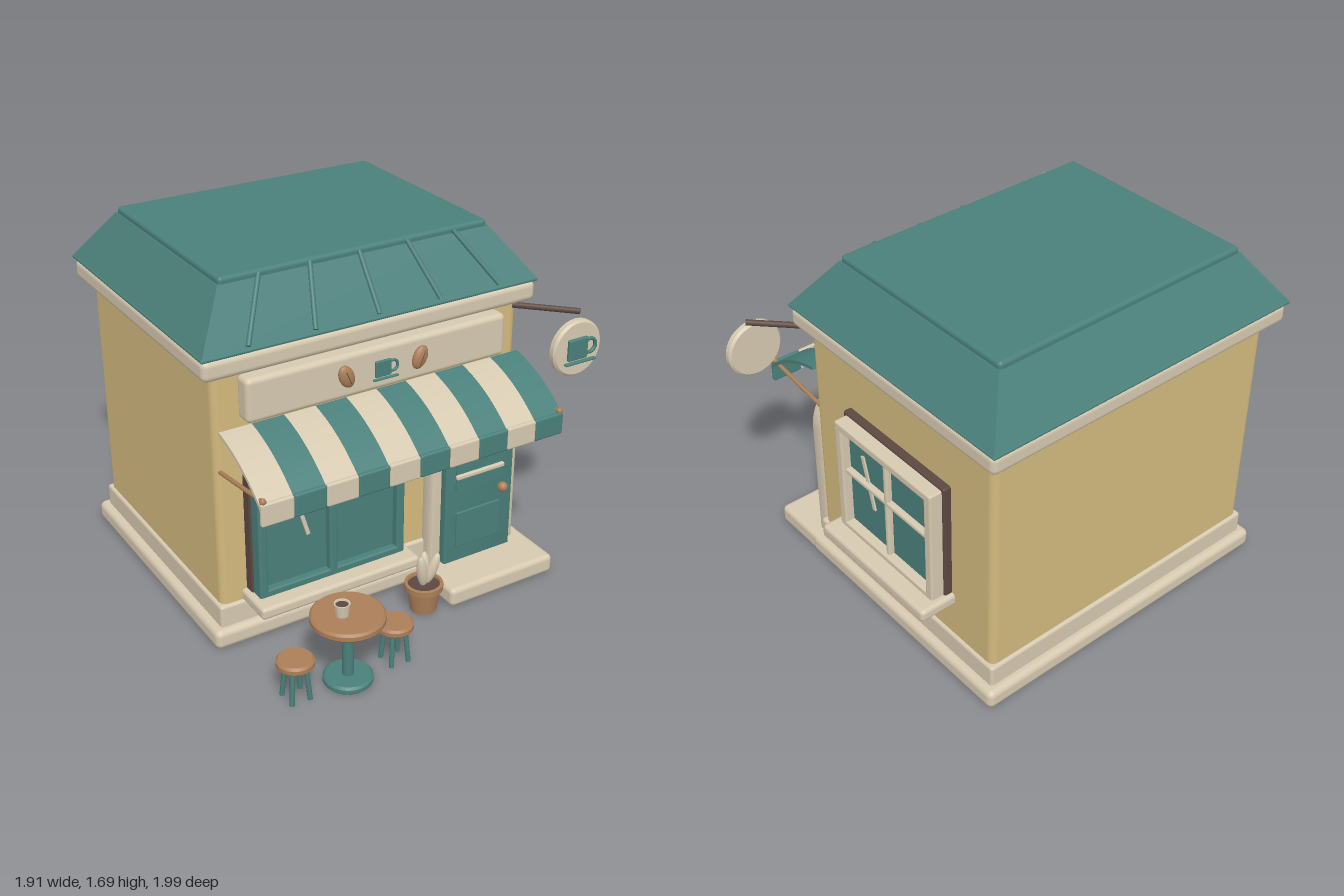
import * as THREE from 'three';
import { toCreasedNormals } from 'three/addons/utils/BufferGeometryUtils.js';
import { RoundedBoxGeometry } from 'three/addons/geometries/RoundedBoxGeometry.js';

function material(name, color) {
  const m = new THREE.MeshStandardMaterial({ color });
  m.name = name;
  return m;
}

export function createModel() {
  const cream = material('cream', 0xd6c9b0);
  const teal = material('teal', 0x4b807b);
  const wall = material('wall yellow', 0xd3ba7e);
  const brown = material('dark brown', 0x5c4840);
  const copper = material('copper brown', 0xab7f58);
  const model = new THREE.Group();
  model.name = 'cafe';

  function add(name, geo, mat, pos = [0, 0, 0], parent = model) {
    const mesh = new THREE.Mesh(geo, mat);
    mesh.name = name;
    mesh.position.set(...pos);
    parent.add(mesh);
    return mesh;
  }
  // Rounded box given by its limits on each axis
  function box(name, mat, [x0, x1], [y0, y1], [z0, z1], r = 0.01, parent = model) {
    const s = [x1 - x0, y1 - y0, z1 - z0];
    const geo = new RoundedBoxGeometry(...s, 3, Math.min(r, Math.min(...s) * 0.45));
    return add(name, geo, mat, [(x0 + x1) / 2, (y0 + y1) / 2, (z0 + z1) / 2], parent);
  }
  function rod(name, mat, a, b, r, parent = model) {
    const p = new THREE.Vector3(...a), q = new THREE.Vector3(...b);
    const mesh = add(name, new THREE.CylinderGeometry(r, r, p.distanceTo(q), 12), mat, [0, 0, 0], parent);
    mesh.position.copy(p).add(q).multiplyScalar(0.5);
    mesh.quaternion.setFromUnitVectors(new THREE.Vector3(0, 1, 0), q.sub(p).normalize());
    return mesh;
  }
  // Turned part from [radius, height] points
  function lathe(name, mat, points, pos, parent = model) {
    const geo = new THREE.LatheGeometry(points.map(p => new THREE.Vector2(...p)), 32);
    return add(name, toCreasedNormals(geo, 0.6), mat, pos, parent);
  }
  function disc(name, mat, r, y0, y1, pos, parent = model) {
    const b = Math.min(0.01, (y1 - y0) * 0.3);
    return lathe(name, mat, [[0, y0], [r - b, y0], [r, y0 + b], [r, y1 - b], [r - b, y1], [0, y1]], pos, parent);
  }
  // Upright panel with a semicircular top
  function arch(name, mat, x, half, y0, spring, z0, depth, bevel) {
    const s = new THREE.Shape();
    const h = half - bevel;
    s.moveTo(-h, y0 + bevel);
    s.lineTo(h, y0 + bevel);
    s.lineTo(h, spring);
    s.absarc(0, spring, h, 0, Math.PI, false);
    s.closePath();
    const geo = new THREE.ExtrudeGeometry(s, {
      depth: depth - 2 * bevel, curveSegments: 24, bevelEnabled: bevel > 0,
      bevelSize: bevel, bevelThickness: bevel, bevelSegments: 3
    });
    return add(name, toCreasedNormals(geo, 0.6), mat, [x, 0, z0 + bevel]);
  }

  // Building body
  box('lowerPlinth', cream, [-0.945, 0.72], [0, 0.095], [-0.98, 0.365], 0.03);
  box('upperPlinth', cream, [-0.905, 0.68], [0.08, 0.2], [-0.94, 0.33], 0.015);
  box('walls', wall, [-0.89, 0.665], [0.1, 1.38], [-0.925, 0.315], 0.035);
  box('cornice', cream, [-0.95, 0.725], [1.32, 1.418], [-0.99, 0.372], 0.03);
  box('doorStep', cream, [0.125, 0.715], [0, 0.095], [0.28, 0.635], 0.025);

  // Hipped roof with flat deck
  const hip = new THREE.BoxGeometry(1.685, 0.235, 1.375);
  const hp = hip.attributes.position;
  for (let i = 0; i < hp.count; i++) {
    if (hp.getY(i) > 0) hp.setXYZ(i, hp.getX(i) * 0.802, hp.getY(i), hp.getZ(i) * 0.752);
  }
  hip.computeVertexNormals();
  add('roofSlopes', hip, teal, [-0.112, 1.5425, -0.3125]);
  box('roofEave', teal, [-0.955, 0.73], [1.416, 1.432], [-1, 0.375], 0.007);
  box('roofDeck', teal, [-0.782, 0.558], [1.64, 1.69], [-0.827, 0.203], 0.018);
  for (let i = -2; i <= 2; i++) {
    rod('roofSeam', teal, [-0.113 + i * 0.314, 1.445, 0.37], [-0.113 + i * 0.242, 1.677, 0.202], 0.011);
  }

  // Cup emblem, shared by both signs
  function cupEmblem(x, y, z, s) {
    const g = new THREE.Group();
    g.name = 'cupEmblem';
    g.position.set(x, y, z);
    g.scale.setScalar(s);
    box('cupBody', teal, [-0.07, 0.04], [-0.05, 0.055], [0, 0.02], 0.008, g);
    box('saucer', teal, [-0.082, 0.092], [-0.072, -0.06], [0, 0.02], 0.005, g);
    add('cupHandle', new THREE.TorusGeometry(0.034, 0.009, 8, 24), teal, [0.053, 0.005, 0.01], g);
    model.add(g);
  }
  // Sign board with beans
  box('signBoard', cream, [-0.77, 0.545], [1.1, 1.305], [0.3, 0.395], 0.025);
  for (const s of [-1, 1]) {
    const bean = add('bean', new THREE.SphereGeometry(1, 24, 16), copper, [-0.113 + s * 0.187, 1.21, 0.405]);
    bean.scale.set(0.036, 0.056, 0.022);
    bean.rotation.z = -s * 0.4;
    const crease = rod('beanCrease', brown, [0, -0.6, 1], [0, 0.6, 1], 0.05, bean);
    crease.scale.z = 0.3;
  }
  cupEmblem(-0.117, 1.213, 0.415, 0.73);

  // Round hanging sign
  rod('signBracket', brown, [0.635, 1.3, 0.32], [0.85, 1.3, 0.54], 0.014);
  const round = disc('hangingSign', cream, 0.137, -0.022, 0.022, [0.815, 1.14, 0.562]);
  round.rotation.x = Math.PI / 2;
  cupEmblem(0.82, 1.143, 0.584, 1);

  // Striped awning
  const outer = new THREE.QuadraticBezierCurve(
    new THREE.Vector2(0.345, 1.078), new THREE.Vector2(0.54, 1.04), new THREE.Vector2(0.7, 0.895)).getPoints(14);
  const inner = outer.map(p => new THREE.Vector2(p.x - 0.007, p.y - 0.016)).reverse();
  const stripeShape = new THREE.Shape([...outer, ...inner].reverse());
  const stripeWidth = 0.1535;
  const stripeGeo = toCreasedNormals(new THREE.ExtrudeGeometry(stripeShape, { depth: stripeWidth, bevelEnabled: false }), 0.6);
  for (let i = 0; i < 10; i++) {
    const mat = i % 2 ? teal : cream;
    const x = -0.88 + i * stripeWidth;
    add('awningStripe', stripeGeo, mat, [x + stripeWidth, 0, 0]).rotation.y = -Math.PI / 2;
    box('awningValance', mat, [x, x + stripeWidth], [0.805, 0.912], [0.682, 0.706], 0.01);
  }
  for (const x of [-0.865, 0.64]) {
    rod('awningArm', copper, [x, 0.868, 0.31], [x, 0.918, 0.69], 0.01);
    add('awningJoint', new THREE.SphereGeometry(0.015, 12, 8), copper, [x, 0.918, 0.69]);
  }

  // Shop window
  box('shopWindowBack', brown, [-0.765, 0.012], [0.22, 1.0], [0.3, 0.365]);
  box('shopWindowGlass', teal, [-0.75, -0.015], [0.26, 0.98], [0.36, 0.395], 0.003);
  for (const [a, b] of [[-0.757, -0.715], [-0.403, -0.362], [-0.05, -0.008]]) {
    box('shopWindowBar', teal, [a, b], [0.245, 0.99], [0.36, 0.43]);
  }
  for (const [a, b] of [[0.245, 0.285], [0.95, 0.99]]) {
    box('shopWindowRail', teal, [-0.757, -0.008], [a, b], [0.36, 0.43]);
  }
  box('shopWindowSill', cream, [-0.79, 0.03], [0.195, 0.253], [0.3, 0.51], 0.018);
  const glint = add('shopWindowGlint', new THREE.BoxGeometry(0.018, 0.42, 0.008), cream, [-0.556, 0.69, 0.399]);
  glint.rotation.z = 0.29;

  // Arched door
  arch('doorFrame', cream, 0.412, 0.243, 0.09, 0.72, 0.3, 0.09, 0.02);
  arch('door', teal, 0.41, 0.19, 0.09, 0.71, 0.37, 0.06, 0.006);
  arch('doorGlass', teal, 0.405, 0.132, 0.48, 0.68, 0.428, 0.009, 0);
  box('doorPanel', teal, [0.28, 0.527], [0.175, 0.362], [0.425, 0.439], 0.004);
  box('doorBar', cream, [0.268, 0.538], [0.546, 0.57], [0.43, 0.452], 0.008);
  add('doorKnob', new THREE.SphereGeometry(0.025, 20, 14), copper, [0.527, 0.442, 0.457]);

  // Side window
  box('sideWindowBack', brown, [0.64, 0.703], [0.41, 1.035], [-0.657, 0.04]);
  box('sideWindowGlass', teal, [0.69, 0.722], [0.45, 1.0], [-0.62, 0.0], 0.003);
  for (const [a, b] of [[-0.645, -0.6], [-0.023, 0.022]]) {
    box('sideWindowStile', cream, [0.69, 0.767], [0.43, 1.022], [a, b]);
  }
  for (const [a, b] of [[0.43, 0.465], [0.98, 1.022]]) {
    box('sideWindowRail', cream, [0.69, 0.767], [a, b], [-0.645, 0.022]);
  }
  box('sideWindowMullion', cream, [0.7, 0.75], [0.44, 1.01], [-0.324, -0.298]);
  box('sideWindowCrossbar', cream, [0.7, 0.75], [0.744, 0.77], [-0.63, 0.01]);
  box('sideWindowSill', cream, [0.65, 0.845], [0.378, 0.44], [-0.677, 0.06], 0.02);
  const sideGlint = add('sideWindowGlint', new THREE.BoxGeometry(0.008, 0.27, 0.02), cream, [0.726, 0.76, -0.16]);
  sideGlint.rotation.x = 0.27;

  // Bistro table and cup
  const table = [-0.555, 0, 0.83];
  disc('tableTop', copper, 0.164, 0.312, 0.352, table);
  rod('tablePole', teal, [-0.555, 0.02, 0.83], [-0.555, 0.32, 0.83], 0.026);
  disc('tableBase', teal, 0.11, 0, 0.038, table);
  const cup = [-0.583, 0.35, 0.83];
  lathe('cup', cream, [[0, 0], [0.028, 0], [0.035, 0.06], [0.029, 0.06], [0.027, 0.048], [0, 0.048]], cup);
  disc('coffee', brown, 0.029, 0.046, 0.053, cup);
  add('cupHandle', new THREE.TorusGeometry(0.017, 0.005, 8, 20), cream, [-0.554, 0.381, 0.818]).rotation.y = 0.5;

  // Stools
  for (const x of [-0.803, -0.308]) {
    const stool = new THREE.Group();
    stool.name = 'stool';
    stool.position.set(x, 0, 0.815);
    disc('stoolSeat', copper, 0.083, 0.168, 0.207, [0, 0, 0], stool);
    for (let i = 0; i < 4; i++) {
      const c = Math.cos(Math.PI / 4 + i * Math.PI / 2), s = Math.sin(Math.PI / 4 + i * Math.PI / 2);
      rod('stoolLeg', teal, [c * 0.062, 0.004, s * 0.062], [c * 0.045, 0.175, s * 0.045], 0.011, stool);
    }
    model.add(stool);
  }

  // Potted plant
  const pot = [0.02, 0, 0.555];
  lathe('pot', copper, [[0, 0], [0.062, 0], [0.076, 0.11], [0.09, 0.112], [0.09, 0.14], [0.076, 0.142], [0.072, 0.125], [0, 0.125]], pot);
  disc('soil', brown, 0.074, 0.12, 0.132, pot);
  for (const [dx, dz, h, tx, tz] of [[-0.018, 0.01, 0.088, 0.1, 0.17], [0.01, -0.012, 0.082, -0.15, -0.05], [0.038, 0.01, 0.083, 0.12, -0.3]]) {
    const leaf = add('leaf', new THREE.SphereGeometry(1, 20, 14), cream, [pot[0] + dx, 0.208, pot[2] + dz]);
    leaf.scale.set(0.026, h, 0.024);
    leaf.rotation.set(tx, 0, tz);
  }
  return model;
}
